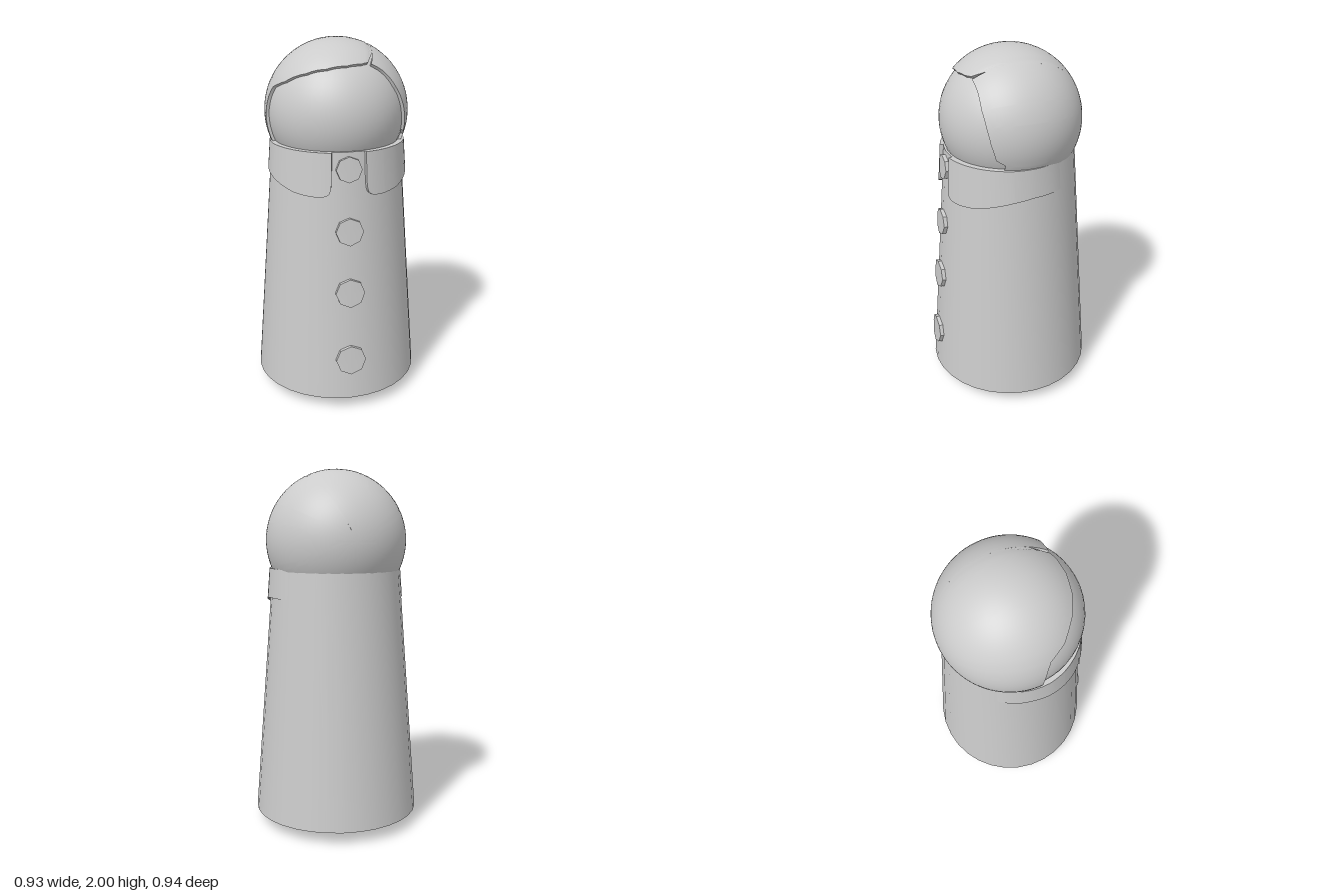
import * as THREE from 'three';
import { toCreasedNormals } from 'three/addons/utils/BufferGeometryUtils.js';

const material = new THREE.MeshStandardMaterial({ color: 0xcccccc });
const HEAD_Y = 1.61, BASE_Y = 0.07, NECK_Y = 1.46;
const BASE_R = 0.465, NECK_R = 0.357;
const rad = THREE.MathUtils.degToRad;

const bodyRadius = (y) => BASE_R + (NECK_R - BASE_R) * (y - BASE_Y) / (NECK_Y - BASE_Y);

// Linear interpolation in a list of [key, value] with rising keys
function sample(table, t) {
  for (let i = 1; i < table.length; i++) {
    const [a, va] = table[i - 1], [b, vb] = table[i];
    if (t <= b) return va + (vb - va) * Math.max(0, (t - a) / (b - a));
  }
  return table[table.length - 1][1];
}

// All keys of a table plus regular steps between them, sorted
function stations(table, step) {
  const first = table[0][0], last = table[table.length - 1][0];
  const list = table.map((p) => p[0]);
  for (let t = first; t < last; t += step) if (!list.some((k) => Math.abs(k - t) < 0.5)) list.push(t);
  return list.sort((a, b) => a - b);
}

// Surface through a list of columns of equal length
function loft(columns, crease) {
  const n = columns[0].length, index = [];
  for (let i = 0; i < columns.length - 1; i++) {
    for (let j = 0; j < n - 1; j++) {
      const a = i * n + j, b = a + n;
      index.push(a, b, a + 1, b, b + 1, a + 1);
    }
  }
  const geometry = new THREE.BufferGeometry();
  geometry.setAttribute('position', new THREE.Float32BufferAttribute(columns.flat(2), 3));
  geometry.setIndex(index);
  return toCreasedNormals(geometry, crease);
}

function add(parent, name, geometry) {
  const mesh = new THREE.Mesh(geometry, material);
  mesh.name = name;
  parent.add(mesh);
  return mesh;
}

// Hair shell: hairline as angle around the face against angle away from the front,
// with a narrow notch for the parting
function hairGeometry() {
  const hairline = [
    [-170, 83], [-157, 83], [-90, 75], [-30, 70], [-24, 69], [-19, 69], [-15, 62], [0, 57.6], [14.5, 55],
    [30.6, 53], [50, 53], [63.3, 52], [60.4 + 3.6, 79], [67, 52], [74, 48], [90, 44.4], [111, 45.5],
    [130, 52], [147.6, 64], [157, 77], [165, 80], [180, 83], [190, 83],
  ];
  const rows = 28;
  const columns = stations(hairline, 5).reverse().map((deg) => {
    const start = sample(hairline, deg), column = [];
    for (let j = -1; j <= rows; j++) {
      const r = j < 0 ? 0.37 : 0.392;
      const t = Math.max(0, j) / rows;
      const beta = rad(start + (180 - start) * t);
      // the parting leans slightly towards the side as it runs back
      const lean = Math.abs(deg - 64) < 25 ? -3.5 * Math.min(1, Math.max(0, (start - 52) / 27)) : 0;
      const alpha = rad(deg + lean * (1 - t));
      column.push([r * Math.sin(beta) * Math.cos(alpha), r * Math.sin(beta) * Math.sin(alpha), r * Math.cos(beta)]);
    }
    return column;
  });
  return loft(columns, rad(40));
}

// Half of the collar, fading into the body towards the back
function collarGeometry(side) {
  const hem = [
    [14, 1.30], [14.5, 1.265], [15.7, 1.243], [18, 1.232], [22, 1.226], [30, 1.225], [45, 1.235],
    [60, 1.26], [75, 1.285], [90, 1.30], [125, 1.30],
  ];
  const thickness = [[14, 0.019], [75, 0.018], [112, 0.003], [125, -0.006]];
  const column = (deg, capped) => {
    const low = sample(hem, deg), t = sample(thickness, deg), a = rad(deg);
    const point = (y, offset) => {
      const r = bodyRadius(y) + offset;
      return [side * r * Math.sin(a), y, r * Math.cos(a)];
    };
    const out = capped ? -0.012 : t;
    return [point(NECK_Y, -0.012), point(NECK_Y, out), point(low, out), point(low, -0.012)];
  };
  const angles = stations(hem, 5.625);
  const columns = [column(angles[0], true), ...angles.map((deg) => column(deg, false))];
  if (side > 0) columns.reverse();
  return loft(columns, rad(35));
}

// Eight-sided button, bent to follow the round body
function buttonGeometry(radius, bodyR) {
  const geometry = new THREE.CylinderGeometry(radius, radius, 0.034, 8).rotateX(Math.PI / 2);
  const p = geometry.attributes.position;
  for (let i = 0; i < p.count; i++) p.setZ(i, p.getZ(i) - p.getX(i) ** 2 / (2 * bodyR));
  return toCreasedNormals(geometry, rad(30));
}

export function createModel() {
  const model = new THREE.Group();
  model.name = 'pegFigure';

  // Tapered body with a shallow pointed underside
  const bodyProfile = [[0, 0], [BASE_R, BASE_Y], [NECK_R, NECK_Y], [0, NECK_Y]].map(([x, y]) => new THREE.Vector2(x, y));
  add(model, 'body', toCreasedNormals(new THREE.LatheGeometry(bodyProfile, 32), rad(35)));

  // Head
  const head = new THREE.Group();
  head.name = 'head';
  head.position.y = HEAD_Y;
  model.add(head);
  add(head, 'face', new THREE.SphereGeometry(0.376, 48, 32));
  add(head, 'hair', hairGeometry());

  // Collar halves
  add(model, 'leftCollar', collarGeometry(1));
  add(model, 'rightCollar', collarGeometry(-1));

  // Button row
  const slope = Math.atan((BASE_R - NECK_R) / (NECK_Y - BASE_Y));
  [[1.37, 0.069], [1.037, 0.075], [0.695, 0.08], [0.305, 0.083]].forEach(([y, r], i) => {
    const button = add(model, `button${i + 1}`, buttonGeometry(r, bodyRadius(y)));
    button.position.set(0, y, bodyRadius(y) + 0.003);
    button.rotation.x = -slope;
  });
  return model;
}
